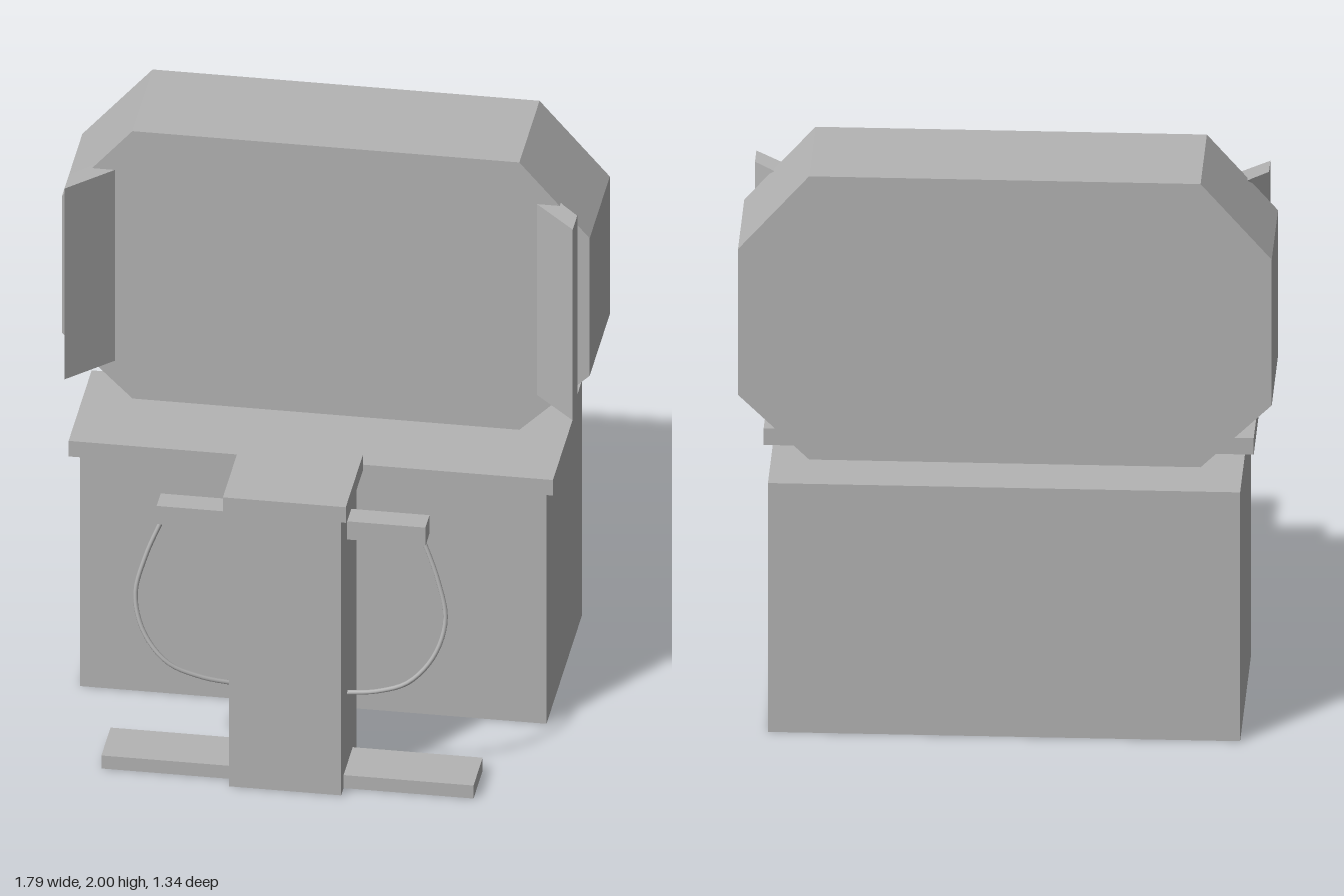
import * as THREE from 'three';

export function createModel() {
  const group = new THREE.Group();
  const grey = new THREE.MeshStandardMaterial({ color: 0xb4b4b4 });
  grey.name = 'plainGrey';

  const add = (name, geometry) => {
    const mesh = new THREE.Mesh(geometry, grey);
    mesh.name = name;
    group.add(mesh);
    return mesh;
  };
  // Box given by its limits on each axis
  const box = (name, x0, x1, y0, y1, z0, z1) =>
    add(name, new THREE.BoxGeometry(x1 - x0, y1 - y0, z1 - z0)
      .translate((x0 + x1) / 2, (y0 + y1) / 2, (z0 + z1) / 2));
  const outline = (points) => new THREE.Shape(points.map(([x, y]) => new THREE.Vector2(x, y)));
  const extrude = (points, depth) =>
    new THREE.ExtrudeGeometry(outline(points), { depth, bevelEnabled: false });

  // Cabinet and its counter
  box('cabinet', -0.79, 0.79, 0, 0.905, -0.67, 0.07);
  box('counter', -0.82, 0.82, 0.91, 0.97, -0.36, 0.12);

  // Large screen housing with cut corners
  add('screenHousing', extrude([
    [-0.655, 0.97], [0.655, 0.97], [0.893, 1.2], [0.893, 1.73],
    [0.655, 2], [-0.655, 2], [-0.893, 1.73], [-0.893, 1.2],
  ], 0.42).translate(0, 0, -0.615));

  // Pedestal, cap, foot bar and link to the cabinet
  box('pedestal', -0.19, 0.19, 0, 1.06, 0.335, 0.655);
  box('pedestalCap', -0.208, 0.208, 1.06, 1.12, 0.31, 0.67);
  box('floorLink', -0.075, 0.075, 0, 0.05, 0.07, 0.335);

  for (const [side, s] of [['left', 1], ['right', -1]]) {
    const span = (a, b) => (s > 0 ? [a, b] : [-b, -a]);
    box(side + 'Foot', ...span(0.19, 0.63), 0, 0.05, 0.415, 0.605);
    box(side + 'Holster', ...span(0.19, 0.455), 0.915, 0.985, 0.445, 0.53);

    // Slanted speaker wing: plan outline in x and -z, raised along y
    add(side + 'Wing', extrude([
      [s * 0.71, 0.2], [s * 0.86, 0.045], [s * 0.86, 0.14],
      [s * 0.805, 0.2], [s * 0.79, 0.22], [s * 0.785, 0.2],
    ], 0.735).rotateX(-Math.PI / 2).translate(0, 1.11, 0));

    // Hanging cable from holster to pedestal
    const path = new THREE.CatmullRomCurve3([
      [0.44, 0.92, 0.492], [0.495, 0.78, 0.517], [0.525, 0.645, 0.543],
      [0.492, 0.52, 0.572], [0.41, 0.42, 0.588], [0.3, 0.36, 0.563], [0.18, 0.318, 0.518],
    ].map(([x, y, z]) => new THREE.Vector3(s * x, y, z)));
    add(side + 'Cable', new THREE.TubeGeometry(path, 32, 0.008, 8));
  }
  return group;
}
